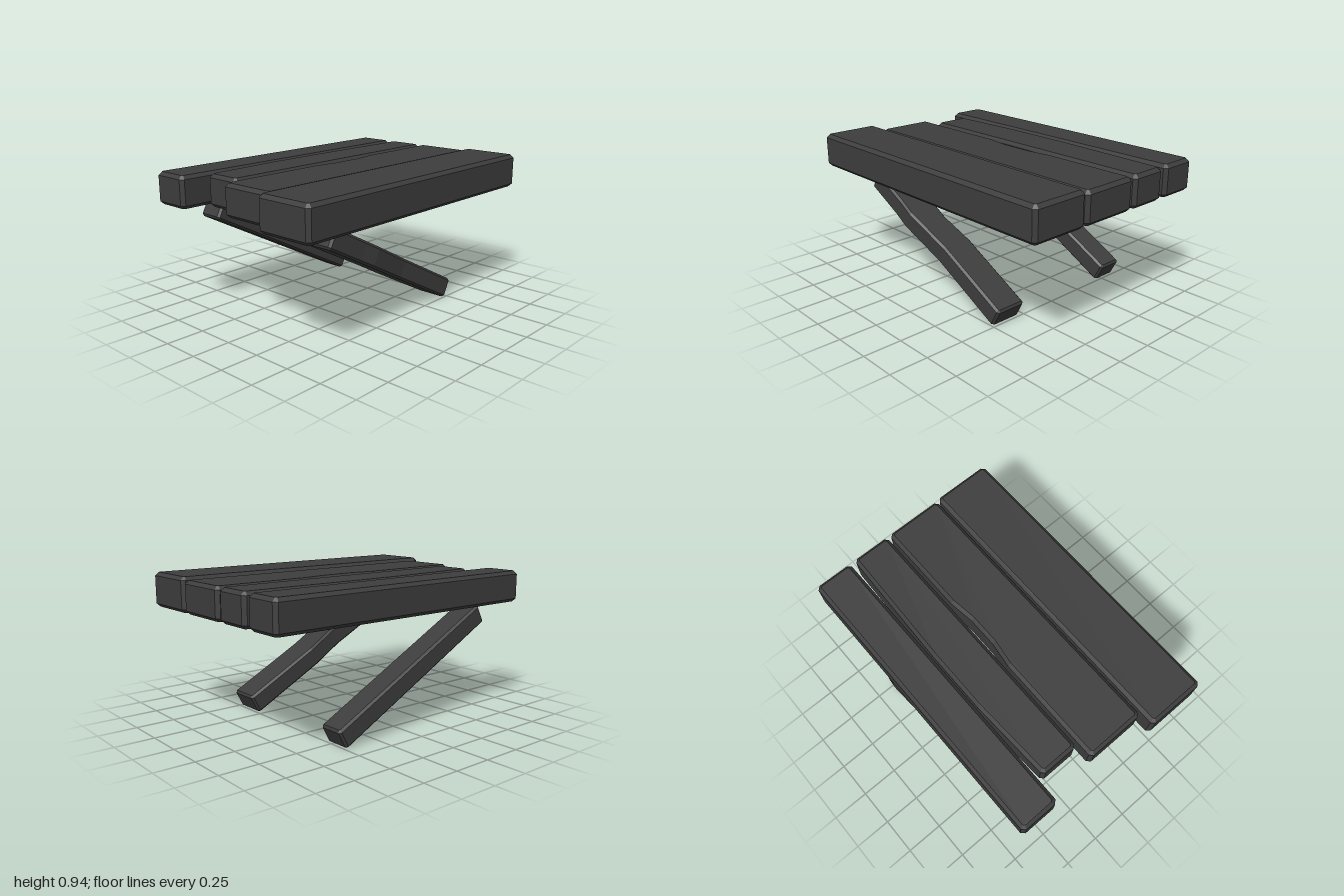
import * as THREE from 'three';

const material = new THREE.MeshStandardMaterial({ color: 0x3d3d3d });

// Chamfered board: front and back edges are [x, z] points from left to right, seen from above.
function board(name, front, back, height, chamfer) {
  const c = chamfer;
  const trim = (edge, sign) => {
    const [x0, z0] = edge[0];
    const [x1, z1] = edge[edge.length - 1];
    return [[x0, z0 - sign * c], [x0 + c, z0], ...edge.slice(1, -1), [x1 - c, z1], [x1, z1 - sign * c]];
  };
  const outline = [...trim(front, 1), ...trim(back, -1).reverse()];
  const shape = new THREE.Shape(outline.map(([x, z]) => new THREE.Vector2(x, -z)));
  const geometry = new THREE.ExtrudeGeometry(shape, {
    depth: height - 2 * c,
    bevelEnabled: true,
    bevelThickness: c,
    bevelSize: c,
    bevelOffset: -c,
    bevelSegments: 1,
  });
  geometry.translate(0, 0, c);
  geometry.rotateX(-Math.PI / 2);
  const mesh = new THREE.Mesh(geometry, material);
  mesh.name = name;
  return mesh;
}

export function createModel() {
  const group = new THREE.Group();
  group.name = 'brokenTable';

  // Table top: four planks of uneven length, two with worn back edges
  const planks = [
    ['frontPlank', [[-1, 0.68], [1, 0.68]], [[-1, 0.292], [1, 0.292]], 0.222],
    ['secondPlank', [[-0.905, 0.282], [1, 0.282]],
      [[-0.905, -0.108], [-0.17, -0.108], [0, -0.085], [0.2, -0.085], [0.37, -0.108], [1, -0.108]], 0.207],
    ['thirdPlank', [[-0.8, -0.128], [1, -0.128]],
      [[-0.8, -0.387], [-0.25, -0.412], [0.17, -0.412], [1, -0.387]], 0.207],
    ['backPlank', [[-0.967, -0.422], [1, -0.422]], [[-0.967, -0.68], [1, -0.68]], 0.207],
  ];
  for (const [name, front, back, height] of planks) {
    const plank = board(name, front, back, height, 0.022);
    plank.position.y = 0.72;
    group.add(plank);
  }

  // Slanted legs: the front one is crooked, the back one straight
  const length = 1.322;
  const legs = [
    ['frontLeg',
      [[0, 0.524], [0.3, 0.524], [0.42, 0.531], [0.755, 0.498], [length, 0.498]],
      [[0, 0.31], [0.38, 0.31], [0.52, 0.314], [0.755, 0.284], [length, 0.284]]],
    ['backLeg', [[0, -0.452], [length, -0.452]], [[0, -0.626], [length, -0.626]]],
  ];
  for (const [name, front, back] of legs) {
    const leg = board(name, front, back, 0.132, 0.014);
    leg.rotation.z = -THREE.MathUtils.degToRad(27.6);
    leg.position.set(-0.692, 0.607, 0);
    group.add(leg);
  }

  return group;
}
